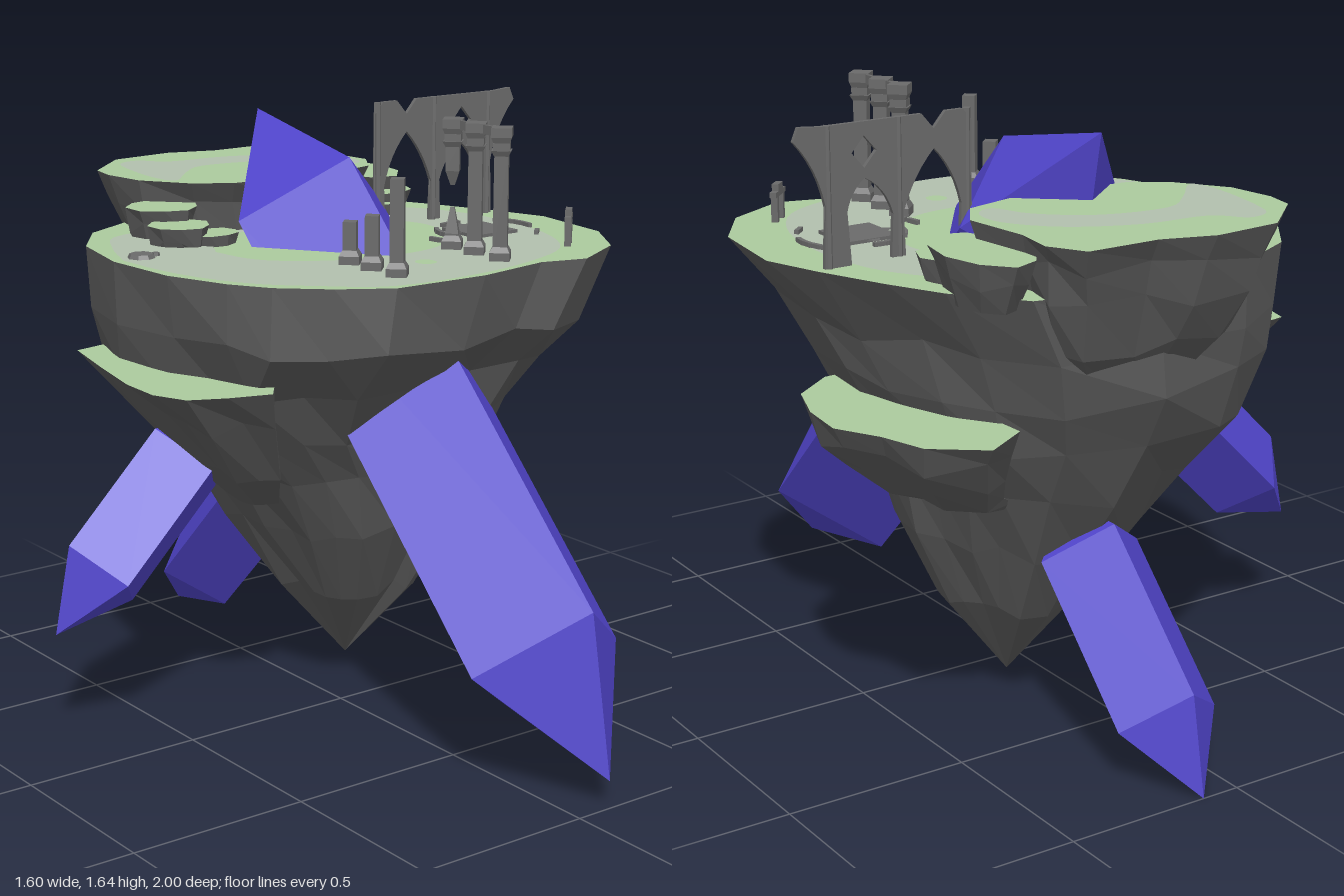
import * as THREE from 'three';
import { mergeGeometries } from 'three/addons/utils/BufferGeometryUtils.js';

const paint = (name, color) => {
  const m = new THREE.MeshStandardMaterial({ color });
  m.name = name;
  return m;
};

// Faceted copy of a geometry
function flat(geo) {
  const g = geo.index ? geo.toNonIndexed() : geo;
  g.deleteAttribute('uv');
  g.computeVertexNormals();
  return g;
}

const noise = (i, j) => { const s = Math.sin(i * 12.99 + j * 78.23) * 43758.5; return s - Math.floor(s) - 0.5; };

// Rock wall: one outline refitted to the bounds [y, x0, x1, z0, z1] of each level
function rockGeometry(outline, levels) {
  const pts = outline.map(([x, z]) => new THREE.Vector2(x, -z));
  if (THREE.ShapeUtils.area(pts) < 0) pts.reverse();
  const box = new THREE.Box2().setFromPoints(pts);
  const size = box.getSize(new THREE.Vector2());
  const rings = levels.map(([y, x0, x1, z0, z1], j) => pts.map((p, i) => {
    const u = (p.x - box.min.x) / size.x, v = (box.max.y - p.y) / size.y;
    const rough = j === 0 || j === levels.length - 1 ? 0 : 1;
    const k = 1 + rough * 0.07 * noise(i, j);
    return new THREE.Vector3(
      (x0 + x1) / 2 + (u - 0.5) * (x1 - x0) * k,
      y + rough * 0.05 * noise(i + 31, j),
      (z0 + z1) / 2 + (v - 0.5) * (z1 - z0) * k);
  }));
  const pos = [], n = pts.length;
  const tri = (...c) => c.forEach((p) => pos.push(p.x, p.y, p.z));
  for (let j = 0; j < rings.length - 1; j++) {
    for (let i = 0; i < n; i++) {
      const k = (i + 1) % n, a = rings[j], b = rings[j + 1];
      tri(a[i], b[i], b[k]);
      tri(a[i], b[k], a[k]);
    }
  }
  const g = new THREE.BufferGeometry();
  g.setAttribute('position', new THREE.Float32BufferAttribute(pos, 3));
  g.computeVertexNormals();
  return g;
}

// Level plate from an outline in x and z, optionally smoothed and with holes
function plate(outline, y, smooth = false, holes = []) {
  const curve = (list) => {
    const v = list.map(([x, z]) => new THREE.Vector2(x, -z));
    return smooth ? new THREE.SplineCurve([...v, v[0]]).getPoints(60) : v;
  };
  const shape = new THREE.Shape(curve(outline));
  holes.forEach((h) => shape.holes.push(new THREE.Path(curve(h))));
  return new THREE.ShapeGeometry(shape).rotateX(-Math.PI / 2).translate(0, y, 0);
}

const oval = (cx, cz, rx, rz, n = 9) => Array.from({ length: n }, (_, i) => {
  const a = (i / n) * Math.PI * 2, k = 1 + 0.14 * noise(i, cx * 10);
  return [cx + Math.cos(a) * rx * k, cz + Math.sin(a) * rz * k];
});

export function createModel() {
  const model = new THREE.Group();
  const rock = paint('dark rock', 0x5a5a5a);
  const stone = paint('ruin stone', 0x6a6a6a);
  const grass = paint('grass', 0xabca9d);
  const pale = paint('pale ground', 0xb2c0ad);
  const crystal = paint('violet crystal', 0x5145cc);
  const add = (name, geo, mat) => {
    const m = new THREE.Mesh(geo, mat);
    m.name = name;
    model.add(m);
    return m;
  };
  const island = (name, outline, levels) => {
    add(name + 'Rock', rockGeometry(outline, levels), rock);
    add(name + 'Grass', plate(outline, levels[0][0]), grass);
  };

  // Main island
  const G = 1.285;
  island('main', [[.125, .455], [.35, .415], [.48, .45], [.655, .355], [.765, .185], [.795, -.08], [.74, -.24],
    [.66, -.43], [.585, -.58], [.45, -.75], [.15, -.81], [-.2, -.74], [-.385, -.645], [-.5, -.49], [-.55, -.265],
    [-.535, -.03], [-.47, .15], [-.405, .255], [-.29, .36], [-.155, .445]], [
    [G, -.55, .795, -.81, .455], [1.11, -.53, .68, -.81, .44], [.98, -.50, .63, -.78, .30],
    [.84, -.42, .55, -.72, .22], [.68, -.27, .47, -.61, .16], [.5, -.17, .41, -.51, .10],
    [.3, -.04, .32, -.38, -.01], [.06, .15, .15, -.18, -.18]]);

  // Raised plateau at the back
  island('plateau', [[.06, -.945], [.2, -.9], [.4, -.9], [.455, -.805], [.44, -.69], [.465, -.5], [.4, -.4],
    [.24, -.36], [-.08, -.385], [-.18, -.45], [-.27, -.58], [-.29, -.71], [-.275, -.795], [-.13, -.93]], [
    [1.43, -.29, .465, -.945, -.36], [1.36, -.27, .45, -.91, -.39], [1.26, -.23, .42, -.88, -.4],
    [1.13, -.18, .38, -.82, -.42], [.98, -.05, .25, -.7, -.45]]);

  // Side ledges
  island('rightLedge', [[-.3, -.4], [-.45, -.47], [-.56, -.45], [-.61, -.24], [-.65, -.05], [-.655, .08],
    [-.615, .175], [-.52, .22], [-.405, .255], [-.3, .12]], [
    [1.01, -.655, -.3, -.47, .255], [.9, -.54, -.28, -.4, .2], [.74, -.41, -.22, -.31, .11], [.62, -.28, -.18, -.22, 0]]);
  island('leftLedge', [[.45, 0], [.6, -.01], [.72, -.1], [.77, -.24], [.785, -.38], [.72, -.5], [.68, -.63],
    [.55, -.73], [.42, -.65]], [
    [.93, .42, .785, -.73, 0], [.86, .42, .76, -.69, -.03], [.79, .4, .69, -.63, -.07],
    [.72, .38, .61, -.56, -.12], [.66, .3, .46, -.48, -.2]]);

  // Stepping rocks beside the plateau: cx, cz, rx, rz, top
  [[.5, -.61, .11, .18, 1.385], [.48, -.46, .1, .09, 1.345], [.45, -.39, .06, .045, 1.32],
    [-.25, -.49, .1, .1, 1.37], [-.28, -.36, .085, .085, 1.34], [-.2, -.32, .08, .06, 1.315]]
    .forEach(([x, z, a, b, y], i) => {
      const o = oval(x, z, a, b), v = o.map((p) => p[0]), w = o.map((p) => p[1]);
      const e = [Math.min(...v), Math.max(...v), Math.min(...w), Math.max(...w)];
      const inset = (d) => [e[0] + d * a, e[1] - d * a, e[2] + d * b, e[3] - d * b];
      island('step' + (i + 1), o, [[y, ...e], [y - .05, ...inset(.12)], [G - .03, ...inset(.35)]]);
    });

  // Worn pale ground
  add('mainPath', plate([[-.53, -.25], [-.51, -.03], [-.43, .18], [-.3, .32], [-.15, .43], [.12, .44], [.35, .39],
    [.52, .3], [.62, .12], [.65, -.1], [.62, -.3], [.53, -.45], [.4, -.55], [-.1, -.56], [-.36, -.55], [-.46, -.42]],
  G + .003, true, [[[-.27, -.2], [-.18, -.33], [0, -.4], [.3, -.38], [.43, -.2], [.38, -.02], [.25, .1],
    [.05, .12], [-.12, .06], [-.24, -.05]], oval(.1, .24, .03, .03)]), pale);
  add('plateauPath', plate([[-.2, -.75], [-.17, -.84], [-.1, -.86], [-.03, -.79], [.15, -.77], [.32, -.69],
    [.42, -.57], [.42, -.47], [.36, -.44], [.31, -.54], [.18, -.64], [0, -.67], [-.1, -.6], [-.2, -.5], [-.22, -.6]],
  1.433, true), pale);

  // Square crystals: radius, tip and shoulder distances along the axis
  const shard = (name, r, ends, at, rx, rz) => {
    const prof = ends.map((s, i) => new THREE.Vector2(i % 3 ? r : 0, s));
    const m = add(name, flat(new THREE.LatheGeometry(prof, 4)), crystal);
    m.position.set(...at);
    m.rotation.set(rx, 0, rz);
  };
  const Q = Math.PI / 4;
  shard('greatCrystal', .247, [-.65, -.292, 1.145, 1.512], [.1025, .537, .537], -Q, 0);
  shard('backCrystal', .151, [-.704, -.484, .0, .15], [.105, .5025, -.5025], Q, 0);
  shard('sideCrystal', .136, [-.344, -.14, .25, .4], [-.56, .56, -.19], 0, -Q);

  // Pillars, turned to a diamond plan
  const drum = (r0, r1, y0, y1) => new THREE.CylinderGeometry(r1, r0, y1 - y0, 4).translate(0, (y0 + y1) / 2, 0);
  const pillar = (name, x, z, parts) => {
    const g = mergeGeometries(parts.map((p) => flat(drum(...p))));
    add(name, g.translate(x, 0, z), stone);
  };
  const foot = [[.038, .038, G, G + .025], [.038, .027, G + .025, G + .04]];
  const capital = [[.027, .037, 1.565, 1.58], [.031, .031, 1.58, 1.6], [.03, .038, 1.6, 1.615], [.038, .038, 1.615, 1.64]];
  [[.135, 1.40], [.23, 1.43], [.335, 1.54]].forEach(([z, y], i) =>
    pillar('brokenPillar' + (i + 1), -.07, z, [...foot, [.026, .025, G, y]]));
  [.23, .335].forEach((z, i) => pillar('tallPillar' + (i + 1), .275, z, [...foot, [.027, .026, G, 1.57], ...capital]));
  pillar('snappedPillar', .275, .135, [...foot, [.026, .026, G, 1.33], [.026, .008, 1.33, 1.40],
    [.008, .026, 1.46, 1.5], [.026, .026, 1.5, 1.57], ...capital]);
  add('lintel', new THREE.BoxGeometry(.01, .025, .2).translate(.275, 1.625, .235), stone);

  // Ruined arcade with pointed openings
  const wall = new THREE.Shape();
  wall.moveTo(.29, G);
  [[.29, 1.61], [.315, 1.64], [.365, 1.64], [.4, 1.6], [.435, 1.64], [.72, 1.64], [.78, 1.645], [.795, 1.61]]
    .forEach((p) => wall.lineTo(...p));
  wall.quadraticCurveTo(.73, 1.54, .71, 1.44);
  wall.lineTo(.715, G);
  wall.lineTo(.64, G);
  wall.lineTo(.65, 1.42);
  wall.quadraticCurveTo(.64, 1.47, .6, 1.5);
  wall.quadraticCurveTo(.54, 1.47, .52, 1.4);
  wall.lineTo(.525, G);
  wall.lineTo(.485, G);
  wall.lineTo(.49, 1.4);
  wall.quadraticCurveTo(.46, 1.49, .4, 1.55);
  wall.quadraticCurveTo(.34, 1.49, .32, 1.4);
  wall.lineTo(.325, G);
  wall.holes.push(new THREE.Path([[.6, 1.605], [.565, 1.565], [.6, 1.525], [.635, 1.565]].map((p) => new THREE.Vector2(...p))));
  add('arcade', new THREE.ExtrudeGeometry(wall, { depth: .012, bevelEnabled: false, curveSegments: 6 }).translate(0, 0, -.236), stone);
  [.3, .5, .7].forEach((x, i) => pillar('arcadePost' + (i + 1), x, -.23, [[.012, .012, G, 1.64]]));

  // Star paving and the broken ring of stones around it
  const star = Array.from({ length: 16 }, (_, i) => {
    const a = (i * Math.PI) / 8, r = i % 2 ? .07 : .105;
    return [.485 + Math.cos(a) * r, Math.sin(a) * r];
  });
  add('starPaving', plate(star, G + .01), stone);
  add('starPavingBase', new THREE.BoxGeometry(.15, .012, .15).translate(.485, G + .006, 0), stone);
  [-.5, -.3, -.1, .1, .8, 2.7, 2.95, 3.2, 3.45, 3.7, 4.5, 4.75].forEach((a, i) => {
    const r = i > 4 && i < 7 ? .19 : i < 5 ? .16 : .12;
    const b = add('ringStone' + (i + 1), new THREE.BoxGeometry(.012, .012, .04), stone);
    b.position.set(.485 + Math.cos(a) * r, G + .008, Math.sin(a) * r);
    b.rotation.y = -a;
  });

  // Little gate
  const gate = new THREE.Group();
  gate.name = 'littleGate';
  [[-.025, .035, .014, .07], [.025, .035, .014, .07], [0, .075, .085, .014], [0, .09, .04, .02]].forEach(([x, y, w, h]) => {
    const m = new THREE.Mesh(new THREE.BoxGeometry(w, h, .018), stone);
    m.name = 'gateStone';
    m.position.set(x, y, 0);
    gate.add(m);
  });
  gate.position.set(.57, G, .275);
  gate.rotation.y = Q;
  model.add(gate);

  // Old fire pit
  add('firePit', flat(new THREE.CylinderGeometry(.032, .04, .014, 8)).translate(-.47, G + .007, -.255), stone);
  add('firePitStone', flat(new THREE.CylinderGeometry(.01, .012, .012, 6)).translate(-.425, G + .006, -.255), stone);
  return model;
}
